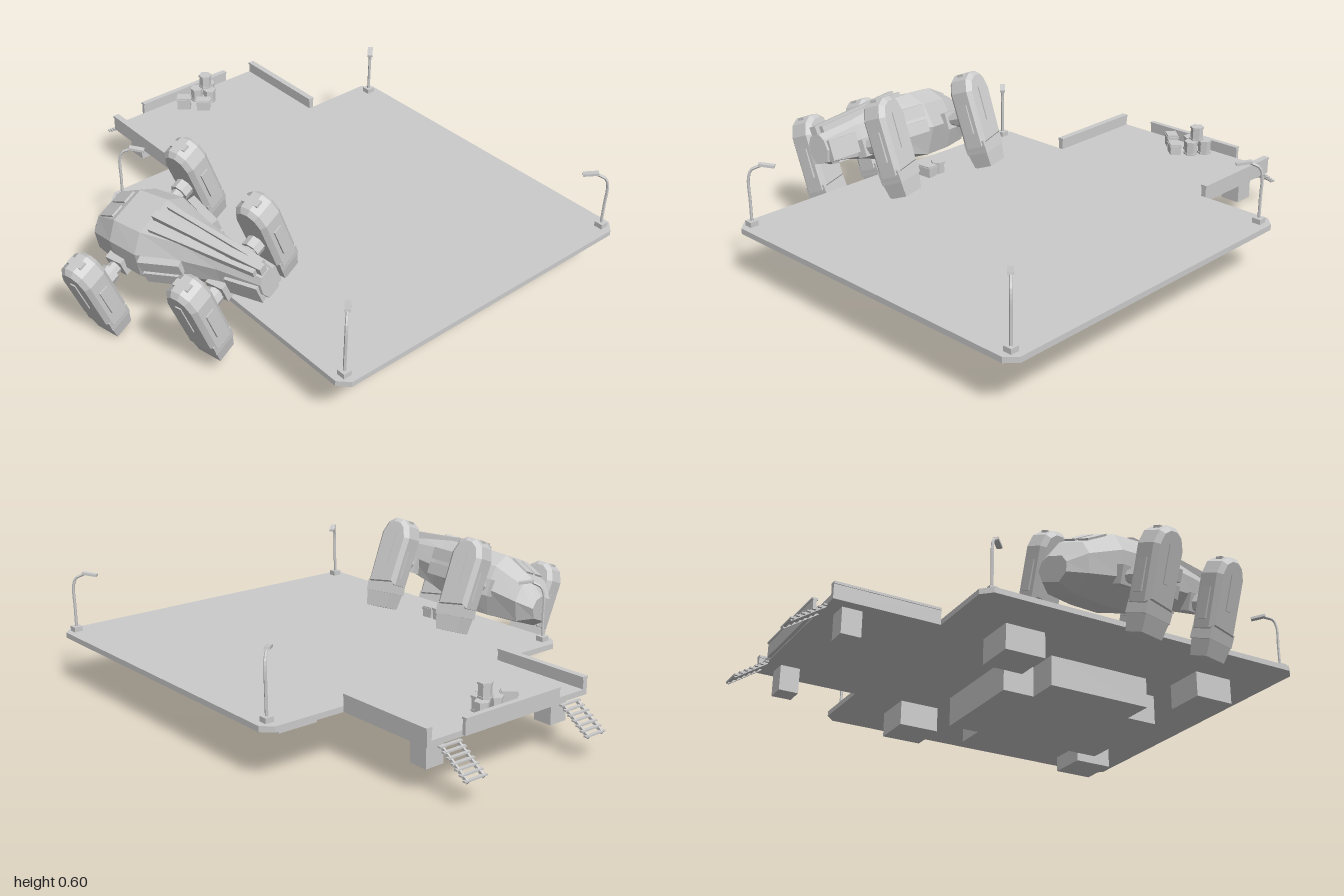
import * as THREE from 'three';

const grey = new THREE.MeshStandardMaterial({ color: 0xcccccc, flatShading: true, side: THREE.DoubleSide });

function add(parent, name, geo, x = 0, y = 0, z = 0, rx = 0, ry = 0, rz = 0) {
  const m = new THREE.Mesh(geo, grey);
  m.name = name;
  m.position.set(x, y, z);
  m.rotation.set(rx, ry, rz);
  parent.add(m);
  return m;
}
const box = (w, h, d) => new THREE.BoxGeometry(w, h, d);
const cyl = (r, h, n = 8, r2 = r) => new THREE.CylinderGeometry(r, r2, h, n);
const group = (parent, name) => {
  const g = new THREE.Group();
  g.name = name;
  parent.add(g);
  return g;
};
const outline = pts => new THREE.Shape(pts.map(p => new THREE.Vector2(...p)));

// Horizontal slab from an (x, z) outline, between two heights
function slab(pts, y0, y1) {
  const g = new THREE.ExtrudeGeometry(outline(pts.map(([x, z]) => [x, -z])), { depth: y1 - y0, bevelEnabled: false });
  return g.rotateX(-Math.PI / 2).translate(0, y0, 0);
}

// Loft through eight-sided sections [z, halfWidth, top, bottom]
function loft(sections) {
  const pos = [], idx = [], n = 8;
  for (const [z, w, t, b] of sections) {
    const h = t - b;
    for (const [u, v] of [[0.5, 1], [0.88, 0.78], [1, 0.4], [0.6, 0], [-0.6, 0], [-1, 0.4], [-0.88, 0.78], [-0.5, 1]])
      pos.push(u * w, b + v * h, z);
  }
  for (let s = 0; s < sections.length - 1; s++)
    for (let i = 0; i < n; i++) {
      const a = s * n + i, b = s * n + (i + 1) % n;
      idx.push(a, a + n, b, b, a + n, b + n);
    }
  const last = (sections.length - 1) * n;
  for (let i = 1; i < n - 1; i++) idx.push(0, i, i + 1, last, last + i + 1, last + i);
  const g = new THREE.BufferGeometry();
  g.setAttribute('position', new THREE.Float32BufferAttribute(pos, 3));
  g.setIndex(idx);
  g.computeVertexNormals();
  return g;
}

// Tall engine pod with rounded head and stepped nozzle; side = outward x sign
function enginePod(parent, name, x, z, side) {
  const pod = group(parent, name);
  pod.position.set(x, 0, z);
  const head = outline([[-0.052, -0.07], [0.052, -0.09], [0.055, 0.12], [0.04, 0.16], [0.015, 0.177], [-0.015, 0.177], [-0.04, 0.16], [-0.055, 0.12]]);
  const g = new THREE.ExtrudeGeometry(head, { depth: 0.075, bevelSize: 0.017, bevelThickness: 0.018, bevelSegments: 1 });
  add(pod, 'podBody', g.rotateY(-Math.PI / 2).translate(0.0375, 0, 0));
  add(pod, 'podCollar', box(0.1, 0.05, 0.125), 0, -0.105, 0, 0.12);
  add(pod, 'podNozzle', cyl(0.075, 0.08, 4, 0.062).rotateY(Math.PI / 4).scale(0.92, 1, 1.15), 0, -0.152, -0.003, 0.1);
  add(pod, 'podPanel', box(0.008, 0.14, 0.025), side * 0.056, 0.06, 0);
  add(pod, 'podTopRib', box(0.03, 0.02, 0.07), 0, 0.184, 0);
  for (const s of [-1, 1]) add(pod, 'podEdgeFin', box(0.04, 0.12, 0.01), 0, 0.01, s * 0.072);
}

function aircraft(parent) {
  const craft = group(parent, 'aircraft');
  craft.position.set(-0.565, 0.305, -0.02);
  craft.rotation.set(-0.08, 0.18, 0.367, 'YXZ');

  add(craft, 'hull', loft([
    [-0.21, 0.075, 0.045, -0.05], [-0.15, 0.125, 0.11, -0.08], [-0.02, 0.155, 0.17, -0.09],
    [0.12, 0.165, 0.175, -0.09], [0.3, 0.105, 0.165, -0.04], [0.45, 0.07, 0.15, -0.01], [0.63, 0.045, 0.12, 0.01],
  ]));
  // Window panels, side vents and tail blocks
  for (const s of [-1, 1]) {
    add(craft, 'windowPanel', box(0.055, 0.01, 0.09), s * 0.036, 0.143, -0.085, -0.43);
    for (const y of [0.03, 0.095])
      add(craft, 'sideVent', box(0.03, 0.05, 0.17), s * 0.128, y, 0.23, 0, -s * 0.32);
    add(craft, 'tailBlock', box(0.025, 0.08, 0.14), s * 0.052, 0.05, 0.55, 0, -s * 0.12);
    add(craft, 'outerSpine', box(0.018, 0.025, 0.46), s * 0.04, 0.157, 0.38, 0.09, -s * 0.07);
  }
  add(craft, 'centreSpine', box(0.03, 0.035, 0.5), 0, 0.16, 0.38, 0.09);

  // Two pairs of engine pods on jointed arms
  for (const s of [-1, 1])
    for (const [x, z, root, place] of [[0.3, 0, 0.13, 'rear'], [0.2, 0.44, 0.05, 'front']]) {
      const len = x - root;
      add(craft, place + 'Arm', cyl(0.026, len), s * (root + len / 2), 0.02, z, 0, 0, Math.PI / 2);
      add(craft, place + 'ArmJoint', cyl(0.038, 0.045), s * (x - 0.075), 0.02, z, 0, 0, Math.PI / 2);
      add(craft, place + 'ArmRoot', box(0.04, 0.07, 0.08), s * (root + 0.025), 0.02, z);
      enginePod(craft, place + 'EnginePod', s * x, z, s);
    }
}

// Lamp post whose curved arm points along its local +x
function lamp(parent, x, z, turn) {
  const g = group(parent, 'lampPost');
  g.position.set(x, 0.222, z);
  g.rotation.y = turn;
  add(g, 'lampBase', box(0.035, 0.02, 0.035), 0, 0.01, 0, 0, -turn);
  const path = new THREE.CatmullRomCurve3([[0, 0], [0, 0.1], [0, 0.19], [0.012, 0.222], [0.045, 0.238]]
    .map(([a, b]) => new THREE.Vector3(a, b, 0)));
  add(g, 'lampPole', new THREE.TubeGeometry(path, 16, 0.006, 6));
  add(g, 'lampHead', box(0.06, 0.01, 0.022), 0.07, 0.24, 0, 0, 0, 0.1 - 0.25);
}

function barrel(parent, x, y, z) {
  add(parent, 'barrel', cyl(0.026, 0.058, 6), x, y + 0.029, z);
  for (const h of [0.004, 0.054]) add(parent, 'barrelRim', cyl(0.029, 0.008, 6), x, y + h, z);
}

function crate(parent, x, z, h, turn) {
  const g = group(parent, 'crate');
  g.position.set(x, 0.222, z);
  g.rotation.y = turn;
  add(g, 'crateBody', box(0.058, h, 0.044), 0, h / 2, 0);
  add(g, 'crateLid', box(0.064, 0.008, 0.05), 0, h * 0.8, 0);
}

export function createModel() {
  const model = new THREE.Group();
  model.name = 'landingPlatform';
  const deckTop = 0.222;

  // Deck with clipped corners and a rear dock
  add(model, 'deck', slab([
    [-0.485, -0.395], [-0.445, -0.435], [-0.135, -0.435], [-0.135, -0.865], [0.595, -0.865], [0.595, -0.435],
    [0.905, -0.435], [0.945, -0.395], [0.945, 0.955], [0.905, 0.995], [-0.445, 0.995], [-0.485, 0.955],
  ], 0.2, deckTop));

  // Cross-shaped core and four footings underneath
  const a = 0.36, b = 0.225, cx = 0.23, cz = 0.285;
  add(model, 'underCore', slab([[-b, -a], [b, -a], [b, -b], [a, -b], [a, b], [b, b], [b, a], [-b, a], [-b, b], [-a, b], [-a, -b], [-b, -b]]
    .map(([x, z]) => [x + cx, z + cz]), 0.075, 0.2));
  for (const sx of [-1, 1])
    for (const sz of [-1, 1]) {
      add(model, 'footing', box(0.17, 0.105, 0.17), cx + sx * 0.438, 0.1475, cz + sz * 0.438);
      lamp(model, cx + sx * 0.67, cz + sz * 0.665, Math.atan2(sz, -sx));
    }

  // Side curbs, dock supports and stairs
  for (const s of [-1, 1]) {
    add(model, 'sideCurb', box(0.02, 0.06, 0.43), cx + s * 0.375, 0.23, -0.65);
    add(model, 'curbCap', box(0.026, 0.01, 0.43), cx + s * 0.375, 0.264, -0.65);
    add(model, 'dockSupport', box(0.08, 0.105, 0.08), cx + s * 0.3, 0.1475, -0.77);
    const stairs = group(model, 'stairs');
    stairs.position.set(cx + s * 0.29, 0.2, -0.865);
    for (let i = 0; i < 7; i++) add(stairs, 'tread', box(0.1, 0.006, 0.014), 0, -0.006 - i * 0.0137, -0.008 - i * 0.0198);
    for (const r of [-1, 1]) add(stairs, 'stairRail', box(0.008, 0.012, 0.155), r * 0.036, -0.05, -0.067, -0.6);
  }
  add(model, 'rearWall', box(0.455, 0.06, 0.014), cx, 0.235, -0.872);
  add(model, 'rearWallCap', box(0.455, 0.008, 0.022), cx, 0.265, -0.872);

  // Cargo
  for (const [x, z] of [[0.255, -0.815], [0.325, -0.82], [0.292, -0.77]]) barrel(model, x, deckTop, z);
  barrel(model, 0.295, deckTop + 0.058, -0.803);
  crate(model, 0.17, -0.795, 0.055, -0.7);
  crate(model, 0.232, -0.735, 0.045, -0.7);
  crate(model, -0.335, 0.16, 0.045, 0.1);
  barrel(model, -0.33, deckTop - 0.01, 0.108);

  aircraft(model);
  return model;
}
